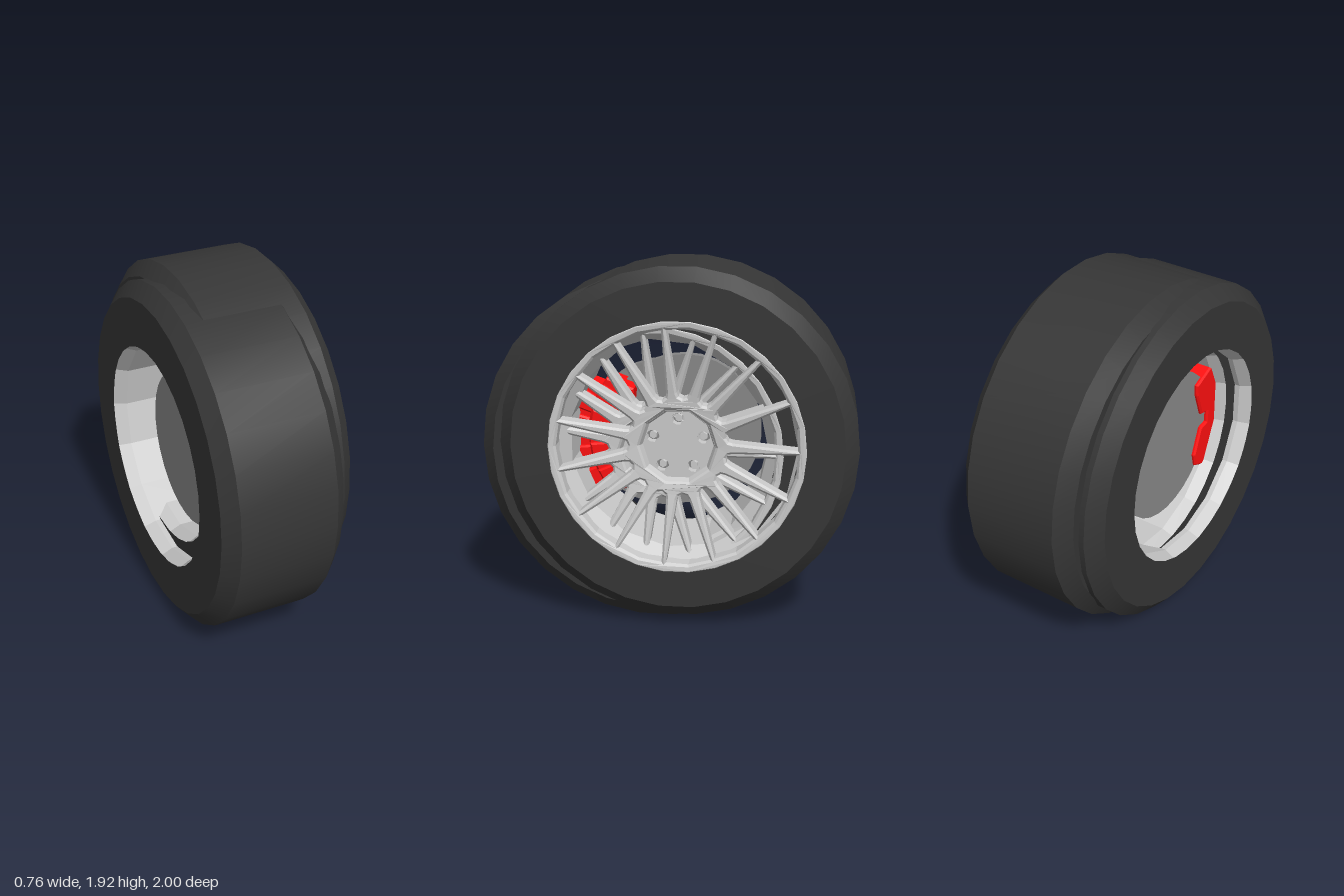
import * as THREE from 'three';
import { toCreasedNormals } from 'three/addons/utils/BufferGeometryUtils.js';

const mat = (color, extra = {}) => new THREE.MeshStandardMaterial({ color, ...extra });
const rubber = mat(0x363636, { side: THREE.DoubleSide });
const alloy = mat(0xcccccc, { flatShading: true });
const alloyOpen = mat(0xcccccc, { flatShading: true, side: THREE.DoubleSide });
const iron = mat(0x888888);
const red = mat(0xff1010, { flatShading: true });

const SPOKES = 15;
const TAU = Math.PI * 2;
const rad = THREE.MathUtils.degToRad;
const polar = (r, a) => new THREE.Vector2(r * Math.cos(a), r * Math.sin(a));

function add(group, name, geometry, material) {
  const mesh = new THREE.Mesh(geometry, material);
  mesh.name = name;
  group.add(mesh);
  return mesh;
}

// Revolves [radius, z] points about the wheel axis (local z)
function revolve(points, segments) {
  const profile = points.map(([r, z]) => new THREE.Vector2(r, z));
  return new THREE.LatheGeometry(profile, segments, Math.PI / 2).rotateX(Math.PI / 2);
}

function disc(radius, z0, z1, sides) {
  return new THREE.CylinderGeometry(radius, radius, z1 - z0, sides)
    .rotateX(Math.PI / 2).translate(0, 0, (z0 + z1) / 2);
}

function ring(radius, sides) {
  return Array.from({ length: sides }, (_, i) => polar(radius, (i / sides) * TAU));
}

function extrude(shape, z0, z1, bevel = 0) {
  return new THREE.ExtrudeGeometry(shape, {
    depth: z1 - z0 - 2 * bevel, bevelEnabled: bevel > 0, bevelSize: bevel,
    bevelThickness: bevel, bevelOffset: -bevel, bevelSegments: 1, curveSegments: 8,
  }).translate(0, 0, z0 + bevel);
}

// Gap between two tapered spokes: rounded at the hub, wide at the rim
function spokeGap(mid) {
  const half = Math.PI / SPOKES;
  const edge = (r, w) => half - w / r;
  const outer = edge(0.625, 0.012), inner = edge(0.29, 0.028);
  return [
    polar(0.29, mid - inner), polar(0.625, mid - outer), polar(0.632, mid),
    polar(0.625, mid + outer), polar(0.29, mid + inner),
    polar(0.268, mid + inner * 0.75), polar(0.258, mid), polar(0.268, mid - inner * 0.75),
  ];
}

// Spoked face, dished towards the hub
function spokedFace() {
  const shape = new THREE.Shape(ring(0.68, 30));
  shape.holes.push(new THREE.Path(ring(0.2, 10)));
  for (let i = 0; i < SPOKES; i++) {
    shape.holes.push(new THREE.Path(spokeGap(((i + 0.5) / SPOKES) * TAU)));
  }
  const geometry = extrude(shape, -0.1, 0, 0.012);
  const p = geometry.attributes.position;
  for (let i = 0; i < p.count; i++) {
    const r = Math.hypot(p.getX(i), p.getY(i));
    p.setZ(i, p.getZ(i) + 0.265 + 0.07 * (r - 0.2) / 0.48);
  }
  geometry.computeVertexNormals();
  return geometry;
}

// Caliper outline: an arc with a notch in its inner edge
function caliperShape() {
  const pts = [];
  for (let a = 143; a <= 222; a += 79 / 8) pts.push(polar(0.51, rad(a)));
  pts.push(polar(0.4, rad(227)), polar(0.33, rad(220)), polar(0.32, rad(190)));
  pts.push(polar(0.38, rad(187)), polar(0.38, rad(177)), polar(0.32, rad(174)));
  pts.push(polar(0.32, rad(146)), polar(0.36, rad(136)));
  return new THREE.Shape(pts);
}

function padShape(a0, a1) {
  const pts = [];
  for (let i = 0; i <= 3; i++) pts.push(polar(0.5, rad(a0 + ((a1 - a0) * i) / 3)));
  for (let i = 3; i >= 0; i--) pts.push(polar(0.36, rad(a0 + ((a1 - a0) * i) / 3)));
  return new THREE.Shape(pts);
}

function buildWheel(name) {
  const wheel = new THREE.Group();
  wheel.name = name;

  // Tyre with chamfered shoulders
  const tyre = revolve([[0.6, -0.33], [0.86, -0.33], [0.94, -0.26],
    [0.94, 0.26], [0.87, 0.33], [0.67, 0.33]], 30);
  add(wheel, 'tyre', toCreasedNormals(tyre, 0.6), rubber);

  // Rim barrel and spoked face
  add(wheel, 'rimBarrel', revolve([[0.615, -0.328], [0.585, -0.26],
    [0.585, 0.18], [0.64, 0.25]], 15), alloyOpen);
  add(wheel, 'spokedFace', spokedFace(), alloy);

  // Recessed hub with five bolt holes
  add(wheel, 'hubRecess', revolve([[0.2, 0.26], [0.185, 0.215]], 10), alloyOpen);
  const plate = new THREE.Shape(ring(0.195, 10));
  for (let i = 0; i < 5; i++) {
    const c = polar(0.14, Math.PI / 2 + (i / 5) * TAU);
    plate.holes.push(new THREE.Path(ring(0.034, 10).map((v) => v.add(c))));
    add(wheel, 'wheelBolt', disc(0.02, 0.14, 0.2, 6).translate(c.x, c.y, 0), alloy);
  }
  add(wheel, 'hubPlate', extrude(plate, 0.165, 0.22), alloy);
  add(wheel, 'hubCore', disc(0.19, -0.1, 0.167, 20), iron);

  // Brake disc and caliper
  add(wheel, 'brakeDisc', toCreasedNormals(disc(0.42, -0.15, -0.09, 30), 0.6), iron);
  add(wheel, 'caliper', extrude(caliperShape(), -0.17, 0.04, 0.01), red);
  for (const [a0, a1] of [[147, 160], [164, 178], [186, 200], [204, 218]]) {
    add(wheel, 'caliperPad', extrude(padShape(a0, a1), 0.03, 0.07, 0.01), red);
  }

  wheel.rotation.y = Math.PI / 2;
  return wheel;
}

export function createModel() {
  const model = new THREE.Group();
  model.name = 'doubleWheel';

  // Two identical wheels, overlapping and slightly offset
  const outer = buildWheel('outerWheel');
  outer.position.set(0.05, 0.985, -0.06);
  const inner = buildWheel('innerWheel');
  inner.position.set(-0.05, 0.935, 0.06);
  model.add(outer, inner);
  return model;
}
